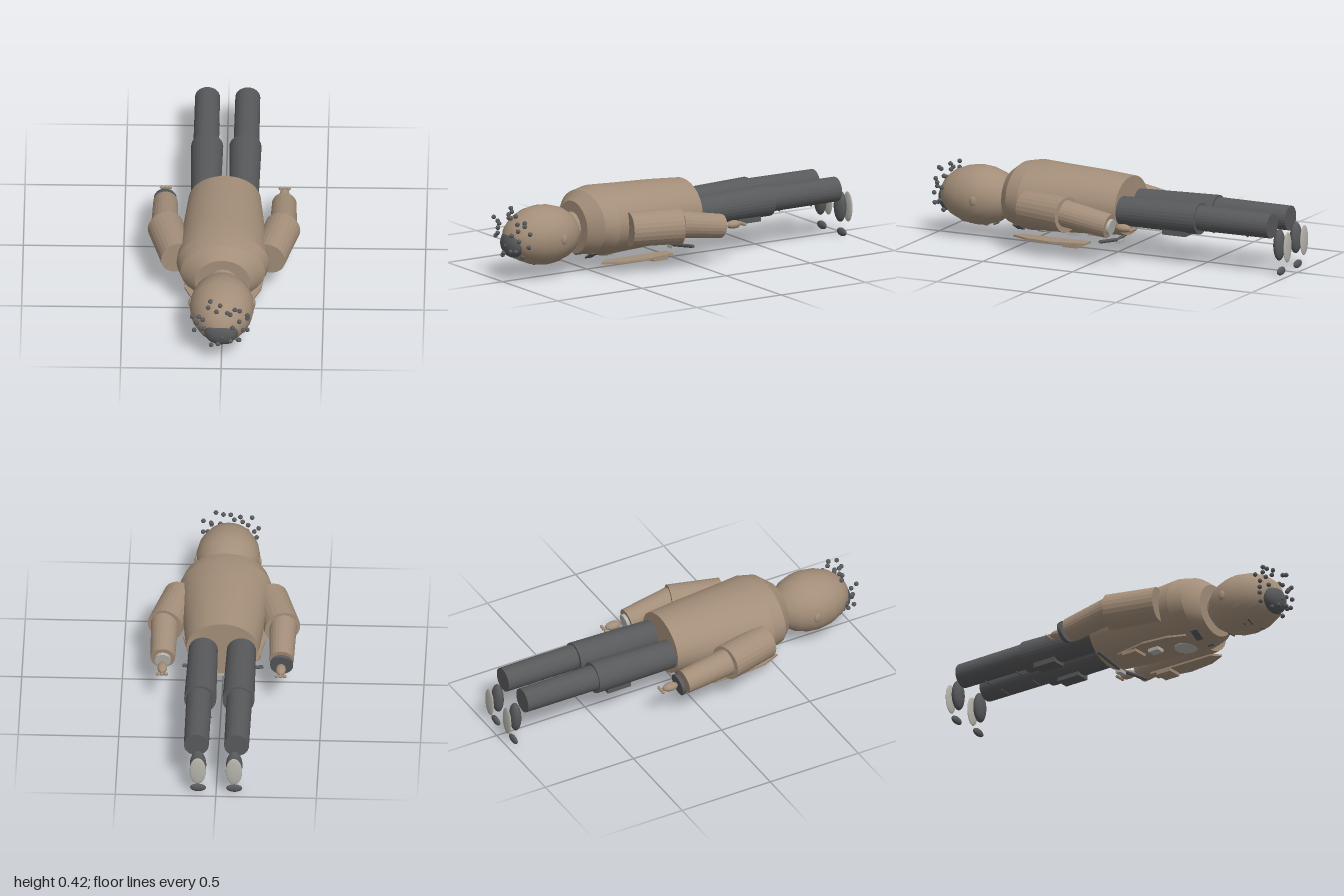
import * as THREE from 'three';
import { toCreasedNormals } from 'three/addons/utils/BufferGeometryUtils.js';

const mat = (name, color) => {
  const m = new THREE.MeshStandardMaterial({ color });
  m.name = name;
  return m;
};

export function createModel() {
  const group = new THREE.Group();
  const tan = mat('tan', 0xa38e79);
  const dark = mat('dark grey', 0x58595b);
  const light = mat('light grey', 0xb6b4ac);

  const add = (name, geo, material, x = 0, y = 0, z = 0) => {
    const mesh = new THREE.Mesh(geo, material);
    mesh.name = name;
    mesh.position.set(x, y, z);
    group.add(mesh);
    return mesh;
  };
  const ball = (name, material, x, y, z, rx, ry = rx, rz = rx, seg = 24) =>
    add(name, new THREE.SphereGeometry(1, seg, Math.ceil(seg * 0.67)).scale(rx, ry, rz), material, x, y, z);
  const box = (name, material, x, y, z, w, h, d) =>
    add(name, new THREE.BoxGeometry(w, h, d), material, x, y, z);
  // Faceted cylinder from point a (radius ra) to point b (radius rb)
  const limb = (name, material, a, b, ra, rb, seg = 24) => {
    const from = new THREE.Vector3(...a), to = new THREE.Vector3(...b);
    const dir = to.clone().sub(from);
    const geo = toCreasedNormals(new THREE.CylinderGeometry(rb, ra, dir.length(), seg), 0.1);
    const mid = from.add(to).multiplyScalar(0.5);
    const mesh = add(name, geo, material, mid.x, mid.y, mid.z);
    mesh.quaternion.setFromUnitVectors(new THREE.Vector3(0, 1, 0), dir.normalize());
    return mesh;
  };
  // Profile of [radius, z] turned around the z axis
  const turned = (profile, seg) =>
    new THREE.LatheGeometry(profile.map(([r, z]) => new THREE.Vector2(r, z)), seg).rotateX(Math.PI / 2);

  // Torso: oval cross-sections [z, half width, half height]
  const sections = [[-0.07, 0.18, 0.148], [0.1, 0.197, 0.16], [0.3, 0.215, 0.168],
    [0.45, 0.231, 0.175], [0.525, 0.21, 0.16], [0.585, 0.137, 0.132]];
  const n = 40;
  const verts = [], index = [];
  for (const [z, rx, ry] of sections) {
    for (let i = 0; i < n; i++) {
      const a = (i / n) * Math.PI * 2;
      verts.push(rx * Math.cos(a), 0.245 + ry * Math.sin(a) - (z > 0.55 ? 0.018 : 0), z);
    }
  }
  for (let s = 0; s < sections.length - 1; s++) {
    for (let i = 0; i < n; i++) {
      const a = s * n + i, b = s * n + (i + 1) % n;
      index.push(a, b, b + n, a, b + n, a + n);
    }
  }
  for (let i = 1; i < n - 1; i++) {
    const top = (sections.length - 1) * n;
    index.push(0, i + 1, i, top, top + i, top + i + 1);
  }
  const torso = new THREE.BufferGeometry();
  torso.setAttribute('position', new THREE.Float32BufferAttribute(verts, 3));
  torso.setIndex(index);
  add('torso', toCreasedNormals(torso, 0.3), tan);

  // Neck, head and crown patch
  limb('neck', tan, [0, 0.23, 0.55], [0, 0.225, 0.63], 0.078, 0.075);
  const head = turned([[0, 0.578], [0.06, 0.582], [0.1, 0.61], [0.136, 0.66], [0.155, 0.72], [0.16, 0.77],
    [0.15, 0.84], [0.122, 0.905], [0.084, 0.948], [0.045, 0.972], [0, 0.982]], 32).scale(1, 0.94, 1);
  add('head', head, tan, 0, 0.212, 0);
  ball('crown', dark, 0, 0.188, 0.942, 0.084, 0.07, 0.048);

  // Hair curls scattered around the crown [x, y]
  const curls = [[-0.055, 0.355], [-0.006, 0.349], [0.068, 0.343], [-0.066, 0.321], [-0.024, 0.315],
    [0.031, 0.327], [0.091, 0.307], [0.13, 0.3], [-0.111, 0.307], [-0.145, 0.275], [-0.092, 0.275],
    [-0.047, 0.278], [0.045, 0.293], [0.09, 0.27], [0.13, 0.257], [-0.123, 0.246], [0.109, 0.222],
    [0.129, 0.191], [-0.134, 0.206], [0.089, 0.167], [0.083, 0.133], [0.046, 0.161], [0.005, 0.184],
    [-0.016, 0.143], [-0.05, 0.125], [-0.083, 0.157], [0.03, 0.129], [-0.086, 0.23], [-0.1, 0.195], [0.056, 0.243]];
  curls.forEach(([x, y], i) => {
    const r = Math.hypot(x, y - 0.21);
    const z = r < 0.07 ? 0.983 : 0.915 + ((i * 37) % 11) * 0.0065;
    ball('hairCurl', dark, x, y, z, 0.012, 0.0115, 0.012, 10);
  });

  // Face, on the underside of the head
  ball('nose', tan, 0, 0.068, 0.74, 0.014, 0.012, 0.022, 12);
  box('mouth', dark, 0, 0.074, 0.68, 0.05, 0.008, 0.008);

  for (const s of [1, -1]) {
    ball('ear', tan, s * 0.158, 0.212, 0.735, 0.009, 0.025, 0.018, 12);
    ball('eye', dark, s * 0.05, 0.08, 0.8, 0.012, 0.007, 0.009, 12);
    box('eyebrow', dark, s * 0.05, 0.081, 0.835, 0.045, 0.007, 0.009).rotation.z = s * 0.3;

    // Arms and hands
    limb('upperArm', tan, [s * 0.225, 0.233, 0.395], [s * 0.292, 0.233, 0.138], 0.086, 0.09);
    limb('forearm', tan, [s * 0.295, 0.242, 0.15], [s * 0.295, 0.202, -0.1], 0.068, 0.061);
    ball('hand', tan, s * 0.295, 0.2, -0.178, 0.025, 0.021, 0.042, 16);
    for (let i = -1; i <= 1; i++) {
      ball('finger', tan, s * (0.295 + i * 0.02), 0.197, -0.23, 0.011, 0.009, 0.009, 8);
    }

    // Legs and shoes
    limb('thigh', dark, [s * 0.095, 0.237, -0.03], [s * 0.095, 0.243, -0.51], 0.072, 0.08, 28);
    limb('shin', dark, [s * 0.1, 0.248, -0.49], [s * 0.1, 0.248, -0.91], 0.064, 0.062, 28);
    ball('shoe', dark, s * 0.09, 0.155, -0.945, 0.041, 0.08, 0.027);
    ball('sole', light, s * 0.09, 0.147, -0.991, 0.041, 0.077, 0.009);
    ball('toeCap', dark, s * 0.09, 0.022, -0.955, 0.04, 0.021, 0.012, 20);
    box('thighPocket', dark, s * 0.1, 0.165, -0.38, 0.075, 0.03, 0.13);
    for (const z of [-0.58, -0.77]) {
      limb('trouserSeam', dark, [s * 0.035, 0.185, z], [s * 0.1, 0.18, z], 0.004, 0.004, 6);
    }

    // Open jacket flap: a thin pointed panel under the chest
    const flap = new THREE.Shape([[0.105, 0.1], [0.17, 0.1], [0.205, 0.28], [0.19, 0.42], [0.15, 0.51], [0.11, 0.47]]
      .map(([x, z]) => new THREE.Vector2(s * x, z)));
    const flapGeo = new THREE.ExtrudeGeometry(flap, { depth: 0.01, bevelEnabled: false }).rotateX(Math.PI / 2);
    add('jacketFlap', flapGeo, tan, 0, 0.065, 0);
    box('jacketPocket', tan, s * 0.143, 0.05, 0.18, 0.08, 0.022, 0.085);

    // Belt halves and collar
    limb('belt', dark, [0, 0.063, 0], [s * 0.2, 0.092, 0], 0.009, 0.009, 8);
    const collar = box('collar', dark, s * 0.072, 0.088, 0.52, 0.066, 0.008, 0.04);
    collar.rotation.z = s * 0.5;
  }

  // Wrist pieces, name plate, buckle and shirt patch
  limb('rightCuff', dark, [-0.297, 0.2, -0.12], [-0.297, 0.197, -0.138], 0.057, 0.057);
  limb('leftCuff', light, [0.295, 0.2, -0.098], [0.295, 0.197, -0.116], 0.04, 0.04);
  box('chestPlate', light, -0.133, 0.036, 0.31, 0.048, 0.018, 0.06);
  box('buckle', light, 0, 0.055, -0.006, 0.046, 0.018, 0.03);
  ball('shirtPatch', light, 0, 0.076, 0.4, 0.06, 0.012, 0.06);

  return group;
}
